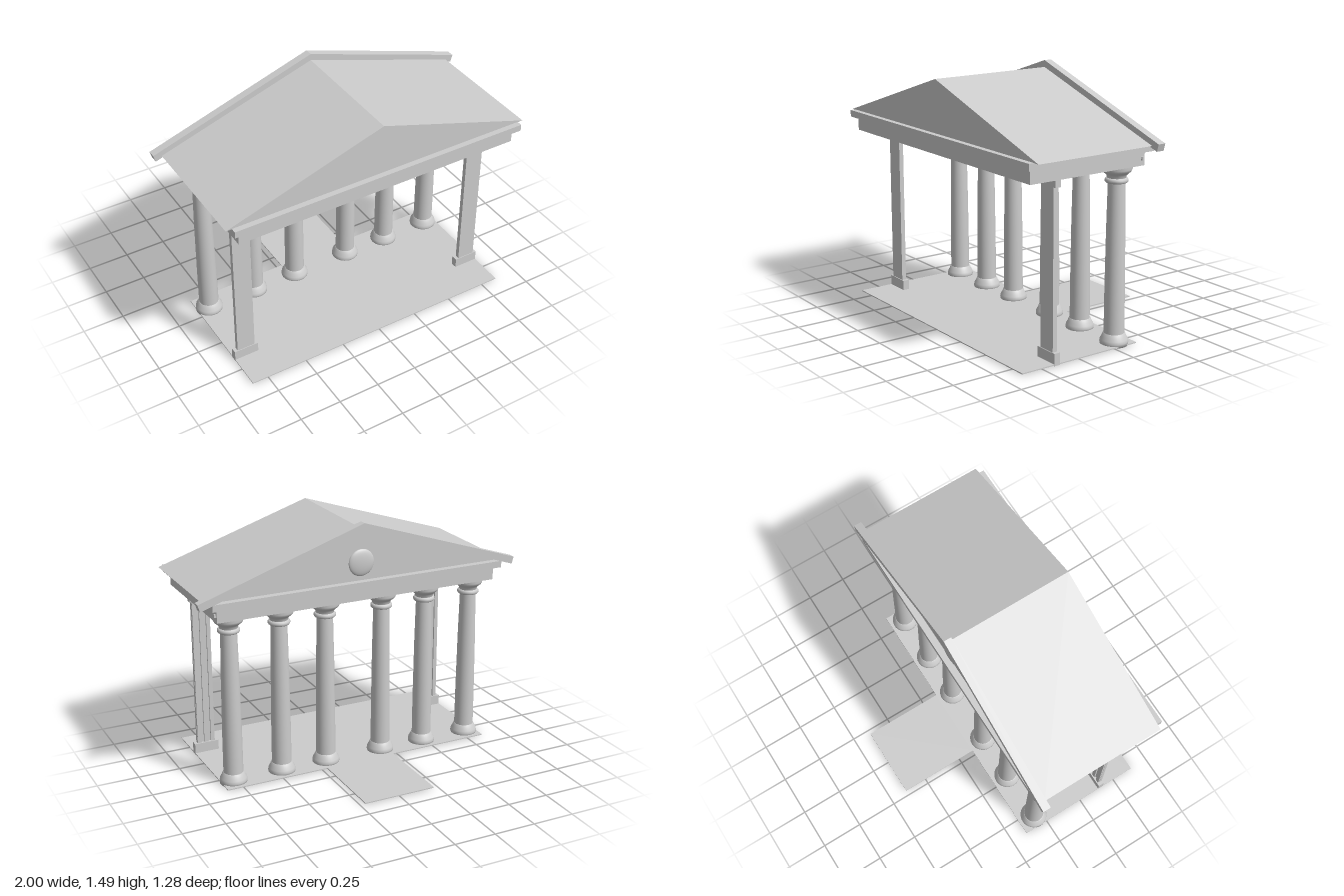
import * as THREE from 'three';

export function createModel() {
  const model = new THREE.Group();
  model.name = 'portico';
  const stone = new THREE.MeshStandardMaterial({ color: 0xcccccc });
  stone.name = 'pale grey stone';

  const add = (name, geometry, parent = model) => {
    const mesh = new THREE.Mesh(geometry, stone);
    mesh.name = name;
    parent.add(mesh);
    return mesh;
  };
  // Box given by its lower and upper limits on each axis
  const block = (name, x0, x1, y0, y1, z0, z1, parent) => {
    const mesh = add(name, new THREE.BoxGeometry(x1 - x0, y1 - y0, z1 - z0), parent);
    mesh.position.set((x0 + x1) / 2, (y0 + y1) / 2, (z0 + z1) / 2);
    return mesh;
  };
  // Front-facing outline pushed from z0 to z1
  const slab = (name, points, z0, z1) => {
    const shape = new THREE.Shape(points.map(([x, y]) => new THREE.Vector2(x, y)));
    const geometry = new THREE.ExtrudeGeometry(shape, { depth: z1 - z0, bevelEnabled: false });
    add(name, geometry).position.z = z0;
  };

  // Thin paving and entrance path
  block('floor', -0.85, 0.85, 0.004, 0.01, -0.15, 0.635);
  block('path', -0.22, 0.22, 0.004, 0.01, -0.643, -0.15);

  // Round columns: smooth lathe pieces, split where the edges are sharp
  const profiles = {
    base: [[0, 0], [0.08, 0], [0.081, 0.02], [0.078, 0.035], [0.069, 0.05], [0.062, 0.068], [0.056, 0.07]],
    shaft: [[0.058, 0.065], [0.057, 0.3], [0.053, 0.65], [0.047, 0.94]],
    ring: [[0.046, 0.925], [0.058, 0.927], [0.064, 0.934], [0.064, 0.945], [0.058, 0.953], [0.05, 0.955]],
    capital: [[0.052, 0.95], [0.055, 0.967], [0.066, 0.978], [0.08, 0.99], [0.086, 1.003], [0.086, 1.03]],
  };
  const pieces = Object.entries(profiles).map(([name, points]) =>
    [name, new THREE.LatheGeometry(points.map(([r, y]) => new THREE.Vector2(r, y)), 32)]);
  for (const x of [-0.775, -0.47, -0.183, 0.183, 0.47, 0.775]) {
    const column = new THREE.Group();
    column.name = 'column';
    column.position.set(x, 0, -0.05);
    for (const [name, geometry] of pieces) add(`column ${name}`, geometry, column);
    model.add(column);
  }

  // Flat pilasters, ribbed on the side facing the columns
  for (const side of [-1, 1]) {
    const pilaster = new THREE.Group();
    pilaster.name = 'pilaster';
    pilaster.position.x = side * 0.775;
    block('pilaster base', -0.075, 0.075, 0, 0.07, 0.385, 0.424, pilaster);
    block('pilaster shaft', -0.055, 0.055, 0.05, 1.03, 0.402, 0.42, pilaster);
    for (const x of [-0.042, 0, 0.042]) {
      block('pilaster rib', x - 0.012, x + 0.012, 0.05, 0.98, 0.392, 0.403, pilaster);
    }
    block('pilaster capital', -0.07, 0.07, 0.975, 1.027, 0.385, 0.421, pilaster);
    model.add(pilaster);
  }

  // Entablature
  block('architrave', -0.88, 0.88, 1.025, 1.106, -0.155, 0.607);
  block('cornice', -0.915, 0.915, 1.105, 1.145, -0.19, 0.64);
  block('bracket', -0.89, 0.89, 1.055, 1.075, -0.141, -0.131);

  // Gabled roof and the raking cornice that frames the pediment
  slab('roof', [[-0.95, 1.143], [0.95, 1.143], [0, 1.45]], -0.15, 0.607);
  slab('raking cornice', [
    [0, 1.49], [-1, 1.16], [-0.987, 1.118], [0, 1.45], [0.987, 1.118], [1, 1.16],
  ], -0.192, -0.145);

  // Shallow round boss in the pediment
  const boss = add('pediment boss', new THREE.SphereGeometry(0.08, 32, 16));
  boss.scale.z = 0.25;
  boss.position.set(0, 1.25, -0.15);

  return model;
}
